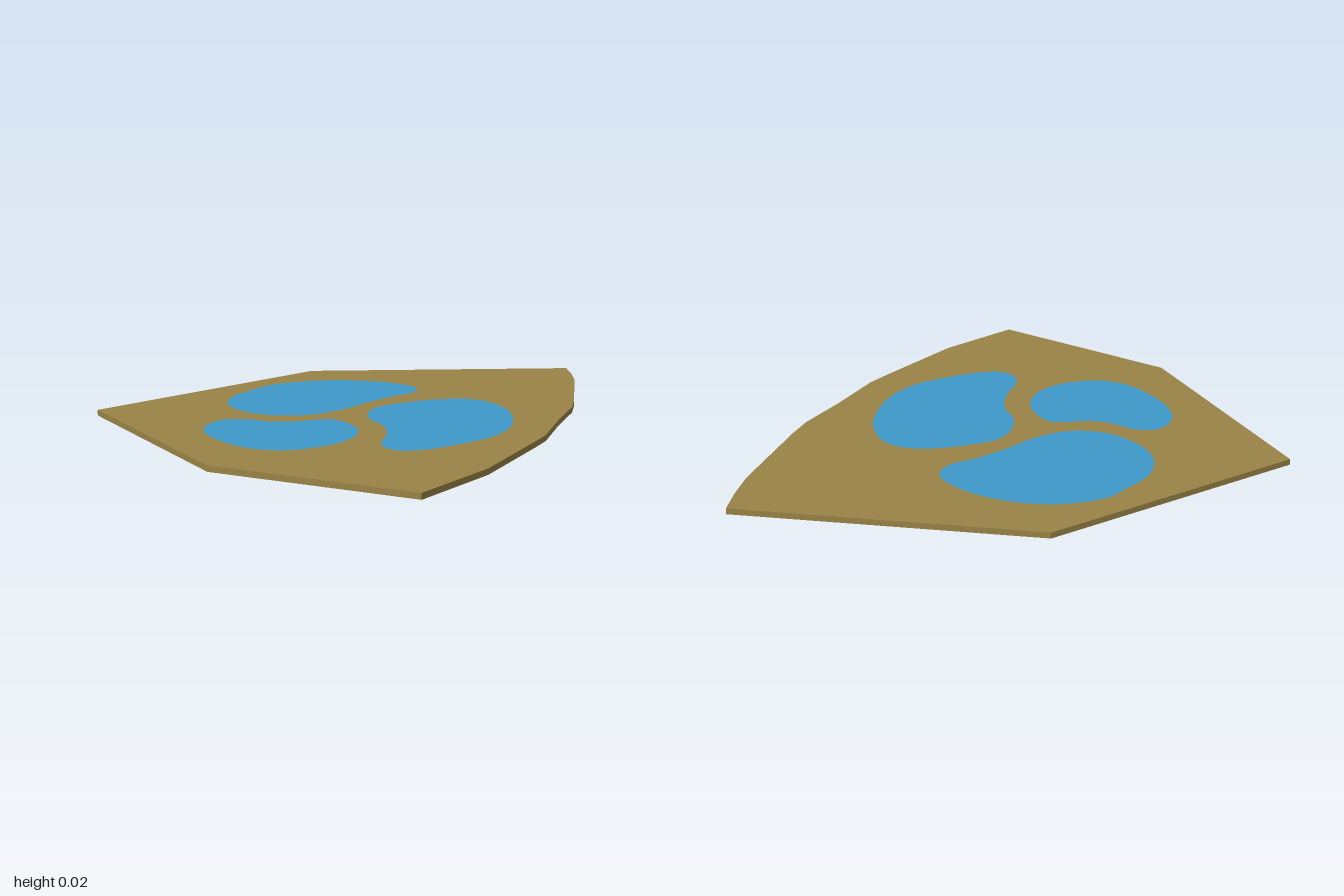
import * as THREE from 'three';

const THICK = 0.022;

// Plan coordinates are written as x, z pairs seen from above.
const OUTLINE = [
  -0.25, -1, -0.155, -0.94, -0.06, -0.87, 0.03, -0.785, 0.23, -0.595, 0.30, -0.52, 0.42, -0.34,
  0.56, -0.15, 0.605, -0.06, 0.77, 0.29, 0.86, 0.63, 0.19, 1, -0.75, 0.95, -0.865, -0.09,
];
const POOLS = {
  leftPool: [
    -0.34, -0.25, -0.29, -0.22, -0.265, -0.17, -0.26, -0.07, -0.23, 0.08, -0.195, 0.2,
    -0.195, 0.34, -0.24, 0.43, -0.31, 0.49, -0.445, 0.525, -0.56, 0.495, -0.65, 0.41,
    -0.70, 0.29, -0.73, 0.2, -0.71, 0.055, -0.65, -0.065, -0.555, -0.165, -0.445, -0.23,
  ],
  rightPool: [
    0.04, -0.32, 0.165, -0.30, 0.295, -0.225, 0.40, -0.12, 0.46, 0, 0.475, 0.135,
    0.465, 0.295, 0.43, 0.38, 0.365, 0.405, 0.30, 0.38, 0.22, 0.30, 0.11, 0.23, -0.01, 0.21,
    -0.10, 0.15, -0.15, 0.07, -0.15, -0.025, -0.125, -0.155, -0.075, -0.26, -0.02, -0.305,
  ],
  frontPool: [
    -0.02, 0.31, 0.075, 0.325, 0.165, 0.395, 0.21, 0.495, 0.21, 0.61, 0.18, 0.70,
    0.095, 0.775, -0.02, 0.805, -0.155, 0.805, -0.26, 0.765, -0.31, 0.705, -0.325, 0.64,
    -0.285, 0.575, -0.20, 0.525, -0.15, 0.46, -0.115, 0.36, -0.085, 0.32,
  ],
};

// Pairs to 2D points; z is flipped so the shape can be laid flat.
function toPoints(pairs) {
  const pts = [];
  for (let i = 0; i < pairs.length; i += 2) pts.push(new THREE.Vector2(pairs[i], -pairs[i + 1]));
  return pts;
}

// Smooth closed curve through the points
function smoothLoop(pairs) {
  const pts = toPoints(pairs).map((p) => new THREE.Vector3(p.x, p.y, 0));
  return new THREE.CatmullRomCurve3(pts, true).getPoints(72).slice(0, -1)
    .map((p) => new THREE.Vector2(p.x, p.y));
}

// Upper and lower face of one region
function addFaces(group, name, shape, material) {
  const top = new THREE.ShapeGeometry(shape).rotateX(-Math.PI / 2).translate(0, THICK, 0);
  // mirrored in x before being turned over, so it faces down
  const flipped = new THREE.Shape(shape.getPoints().map((p) => new THREE.Vector2(p.x, -p.y)));
  flipped.holes = shape.holes.map(
    (h) => new THREE.Path(h.getPoints().map((p) => new THREE.Vector2(p.x, -p.y))));
  const bottom = new THREE.ShapeGeometry(flipped).rotateX(Math.PI / 2);
  for (const [side, geometry] of [['Top', top], ['Bottom', bottom]]) {
    const mesh = new THREE.Mesh(geometry, material);
    mesh.name = name + side;
    group.add(mesh);
  }
}

// Flat-sided rim around the outline
function rimGeometry(pts) {
  const pos = [];
  pts.forEach((a, i) => {
    const b = pts[(i + 1) % pts.length];
    const a0 = [a.x, 0, -a.y], b0 = [b.x, 0, -b.y];
    const a1 = [a.x, THICK, -a.y], b1 = [b.x, THICK, -b.y];
    pos.push(...a0, ...a1, ...b0, ...b0, ...a1, ...b1);
  });
  const g = new THREE.BufferGeometry();
  g.setAttribute('position', new THREE.Float32BufferAttribute(pos, 3));
  g.computeVertexNormals();
  return g;
}

export function createModel() {
  const group = new THREE.Group();
  group.name = 'slabWithPools';
  const earth = new THREE.MeshStandardMaterial({ color: 0x9a8446 });
  earth.name = 'ochre';
  const water = new THREE.MeshStandardMaterial({ color: 0x3f9aca });
  water.name = 'blue';

  // Slab with three openings, each filled by a flush pool
  const outline = toPoints(OUTLINE);
  const slab = new THREE.Shape(outline);
  for (const [name, pairs] of Object.entries(POOLS)) {
    const loop = smoothLoop(pairs);
    slab.holes.push(new THREE.Path(loop));
    addFaces(group, name, new THREE.Shape(loop), water);
  }
  addFaces(group, 'slab', slab, earth);

  // Rim (outline runs clockwise in plan, so the walls face outwards)
  const rim = new THREE.Mesh(rimGeometry(outline), earth);
  rim.name = 'slabRim';
  group.add(rim);
  return group;
}
